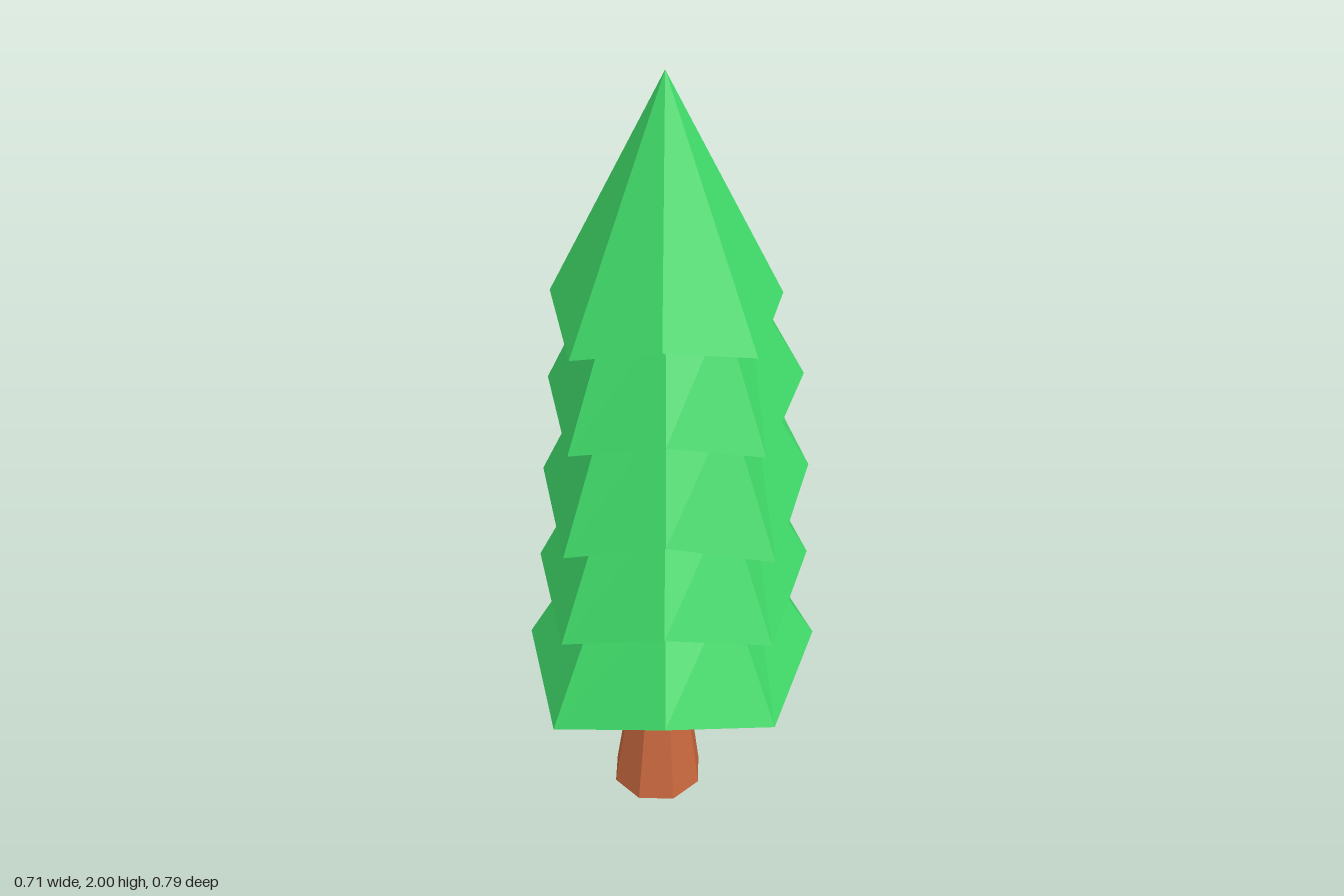
import * as THREE from 'three';

const leaf = new THREE.MeshStandardMaterial({ color: 0x3fd868, flatShading: true });
const bark = new THREE.MeshStandardMaterial({ color: 0xc8683e, flatShading: true });

// Folded cap of an eight-cornered ring: two end triangles and two sloping quads, facing down
const CAP = [[0, 7, 1], [7, 6, 2], [7, 2, 1], [6, 5, 3], [6, 3, 2], [5, 4, 3]];

// Joins eight-cornered rings (listed from the bottom up, front corner first, then towards +x)
function loft(name, rings, material) {
  const pos = [];
  const tri = (a, b, c) => pos.push(...a, ...b, ...c);
  for (let r = 0; r < rings.length - 1; r++) {
    const lo = rings[r], hi = rings[r + 1];
    for (let i = 0; i < 8; i++) {
      const j = (i + 1) % 8;
      tri(lo[i], lo[j], hi[j]);
      tri(lo[i], hi[j], hi[i]);
    }
  }
  const top = rings[rings.length - 1];
  for (const [a, b, c] of CAP) {
    tri(rings[0][a], rings[0][b], rings[0][c]);
    tri(top[a], top[c], top[b]);
  }
  const geo = new THREE.BufferGeometry();
  geo.setAttribute('position', new THREE.Float32BufferAttribute(pos, 3));
  geo.computeVertexNormals();
  const mesh = new THREE.Mesh(geo, material);
  mesh.name = name;
  return mesh;
}

// Branch tier: four drooping tips and four raised corners, tapering towards the leaning axis
function tier(name, { right, left, front, back, tipY, backY, cx, cf, cb, cornerY, topY, k }) {
  const skirt = [
    [0, tipY, front], [cx, cornerY, cf], [right, tipY, 0.01], [cx, cornerY, cb],
    [0, backY, back], [-cx, cornerY, cb], [left, tipY, 0.01], [-cx, cornerY, cf],
  ];
  const axisZ = 0.025;
  const top = skirt.map(([x, , z]) => [x * k, topY, axisZ + (z - axisZ) * k]);
  return loft(name, [skirt, top], leaf);
}

// Regular eight-sided ring for the trunk
function octagon(r, y, x, z, flat = 1) {
  return Array.from({ length: 8 }, (_, i) => {
    const a = (i + 0.5) * Math.PI / 4;
    return [x + r * flat * Math.sin(a), y, z + r * Math.cos(a)];
  });
}

export function createModel() {
  const tree = new THREE.Group();
  tree.name = 'pineTree';

  // Trunk with a chamfered foot
  tree.add(loft('trunk', [
    octagon(0.06, 0, -0.018, 0.04, 0.6),
    octagon(0.115, 0.06, -0.02, 0.042),
    octagon(0.058, 0.47, -0.022, 0.03),
    octagon(0.045, 0.58, -0.02, 0.025),
  ], bark));

  // Branch tiers from the lowest to the pointed top
  const tiers = [
    { right: 0.355, left: -0.355, front: 0.394, back: -0.375, tipY: 0.455, backY: 0.43,
      cx: 0.24, cf: 0.257, cb: -0.24, cornerY: 0.53, topY: 0.79, k: 0.56 },
    { right: 0.335, left: -0.35, front: 0.357, back: -0.385, tipY: 0.7, backY: 0.675,
      cx: 0.215, cf: 0.235, cb: -0.23, cornerY: 0.775, topY: 1.04, k: 0.56 },
    { right: 0.335, left: -0.335, front: 0.34, back: -0.395, tipY: 0.945, backY: 0.92,
      cx: 0.205, cf: 0.22, cb: -0.23, cornerY: 1.025, topY: 1.29, k: 0.56 },
    { right: 0.295, left: -0.305, front: 0.315, back: -0.335, tipY: 1.21, backY: 1.19,
      cx: 0.19, cf: 0.205, cb: -0.215, cornerY: 1.275, topY: 1.52, k: 0.56 },
    { right: 0.262, left: -0.258, front: 0.3, back: -0.268, tipY: 1.445, backY: 1.43,
      cx: 0.175, cf: 0.2, cb: -0.153, cornerY: 1.5, topY: 2, k: 0 },
  ];
  tiers.forEach((t, i) => tree.add(tier(`branchTier${i + 1}`, t)));
  return tree;
}
